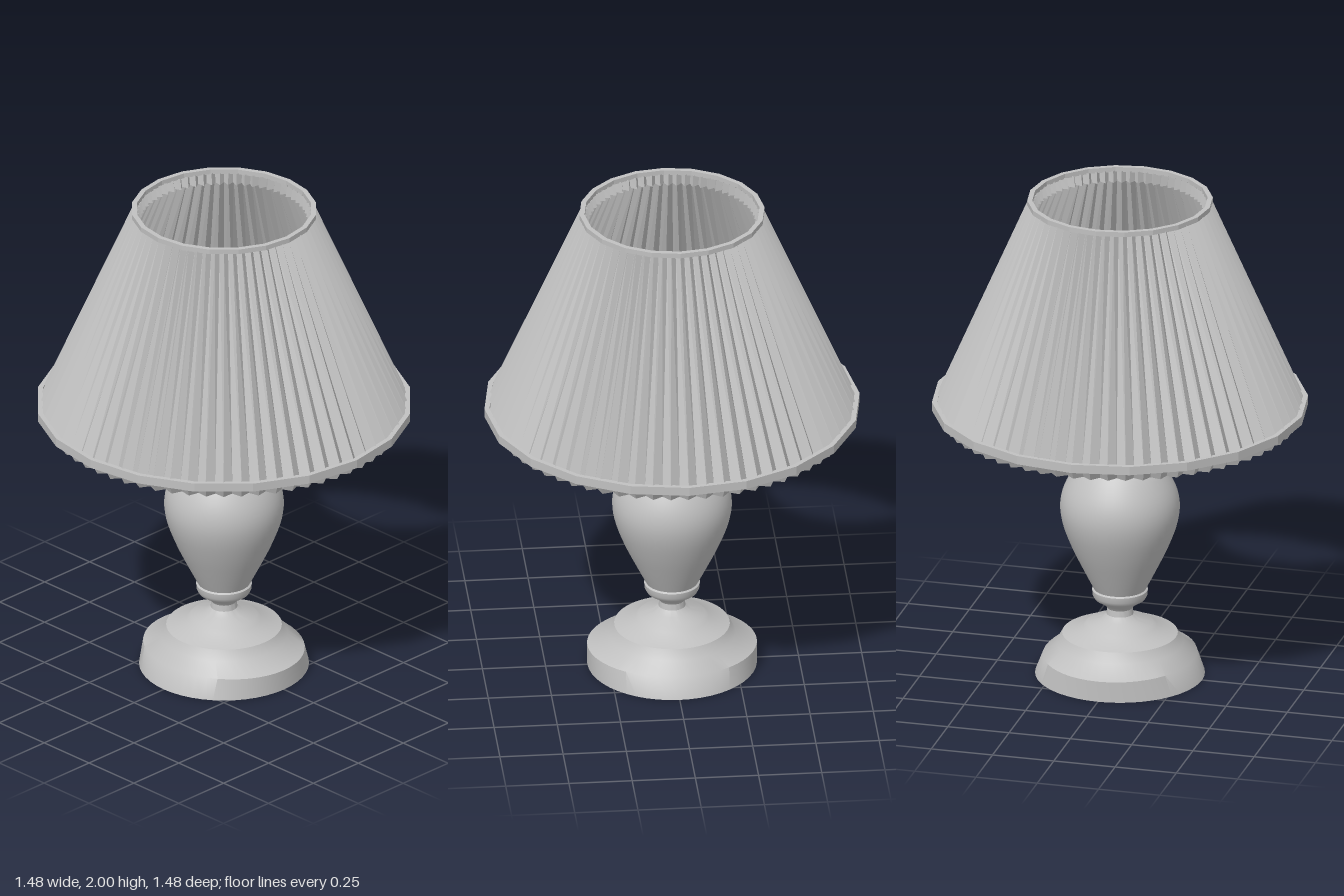
import * as THREE from 'three';
import { toCreasedNormals } from 'three/addons/utils/BufferGeometryUtils.js';

const PLEATS = 64;
const RING_SIDES = 20;

const v2 = (points) => points.map(([r, y]) => new THREE.Vector2(r, y));

// Pleated cloth: rows of [outer radius, inner radius, y], zigzagging around the axis
function pleatedCloth(rows) {
  const n = PLEATS * 2, pos = [], idx = [];
  for (const [outer, inner, y] of rows) {
    for (let i = 0; i < n; i++) {
      const a = (i / n) * Math.PI * 2;
      const r = i % 2 ? inner : outer;
      pos.push(r * Math.sin(a), y, r * Math.cos(a));
    }
  }
  for (let k = 0; k < rows.length - 1; k++) {
    for (let i = 0; i < n; i++) {
      const j = (i + 1) % n;
      const a = k * n + i, b = k * n + j, c = a + n, d = b + n;
      idx.push(a, c, b, b, c, d);
    }
  }
  const g = new THREE.BufferGeometry();
  g.setAttribute('position', new THREE.Float32BufferAttribute(pos, 3));
  g.setIndex(idx);
  const flat = g.toNonIndexed();
  flat.computeVertexNormals();
  return flat;
}

// Closed rectangular hoop with a low number of sides
function hoop(outer, inner, bottom, top) {
  const profile = [[inner, bottom], [outer, bottom], [outer, top], [inner, top], [inner, bottom]];
  return toCreasedNormals(new THREE.LatheGeometry(v2(profile), RING_SIDES), 0.1);
}

export function createModel() {
  const group = new THREE.Group();
  const grey = new THREE.MeshStandardMaterial({ color: 0xc0c0c0, side: THREE.DoubleSide });
  grey.name = 'plain grey';
  const add = (name, geometry) => {
    const mesh = new THREE.Mesh(geometry, grey);
    mesh.name = name;
    group.add(mesh);
  };
  const turned = (points) => toCreasedNormals(new THREE.LatheGeometry(v2(points), 48), 0.55);

  // Stepped foot, its shoulder slightly narrower across x than along z
  const foot = new THREE.LatheGeometry(v2([
    [0, 0], [0.335, 0], [0.335, 0.085], [0.25, 0.13], [0.228, 0.17], [0.145, 0.2],
    [0.13, 0.215], [0.075, 0.23], [0.053, 0.25],
  ]), 48);
  const p = foot.attributes.position;
  for (let i = 0; i < p.count; i++) {
    if (Math.abs(p.getY(i) - 0.085) < 0.001) p.setX(i, p.getX(i) * 0.9);
  }
  add('foot', toCreasedNormals(foot, 0.7));

  // Neck and bead between foot and vase
  add('neck', turned([
    [0.053, 0.25], [0.05, 0.275], [0.06, 0.29], [0.1, 0.315], [0.108, 0.33],
    [0.11, 0.352], [0.102, 0.358],
  ]));

  // Vase body
  const curve = new THREE.SplineCurve(v2([
    [0.102, 0.355], [0.145, 0.44], [0.19, 0.535], [0.225, 0.63], [0.236, 0.71],
    [0.22, 0.785], [0.175, 0.865], [0.122, 0.922],
  ]));
  add('vase', new THREE.LatheGeometry(curve.getPoints(24), 48));

  // Flared collar and lamp stem
  add('collar', turned([
    [0.122, 0.92], [0.14, 0.99], [0.125, 1.0], [0.06, 1.03], [0.05, 1.04],
  ]));
  add('stem', turned([[0.05, 1.03], [0.05, 1.22], [0, 1.22]]));

  // Pleated shade, with the cloth turned in at the top and bottom
  add('shade', pleatedCloth([
    [0.705, 0.675, 1.082], [0.732, 0.7, 1.13], [0.362, 0.335, 1.985],
  ]));
  add('topHem', pleatedCloth([[0.362, 0.335, 1.985], [0.352, 0.327, 1.94]]));

  // Hoops binding the shade
  add('bottomHoop', hoop(0.742, 0.722, 1.12, 1.155));
  add('topHoop', hoop(0.366, 0.346, 1.98, 2.0));
  return group;
}
